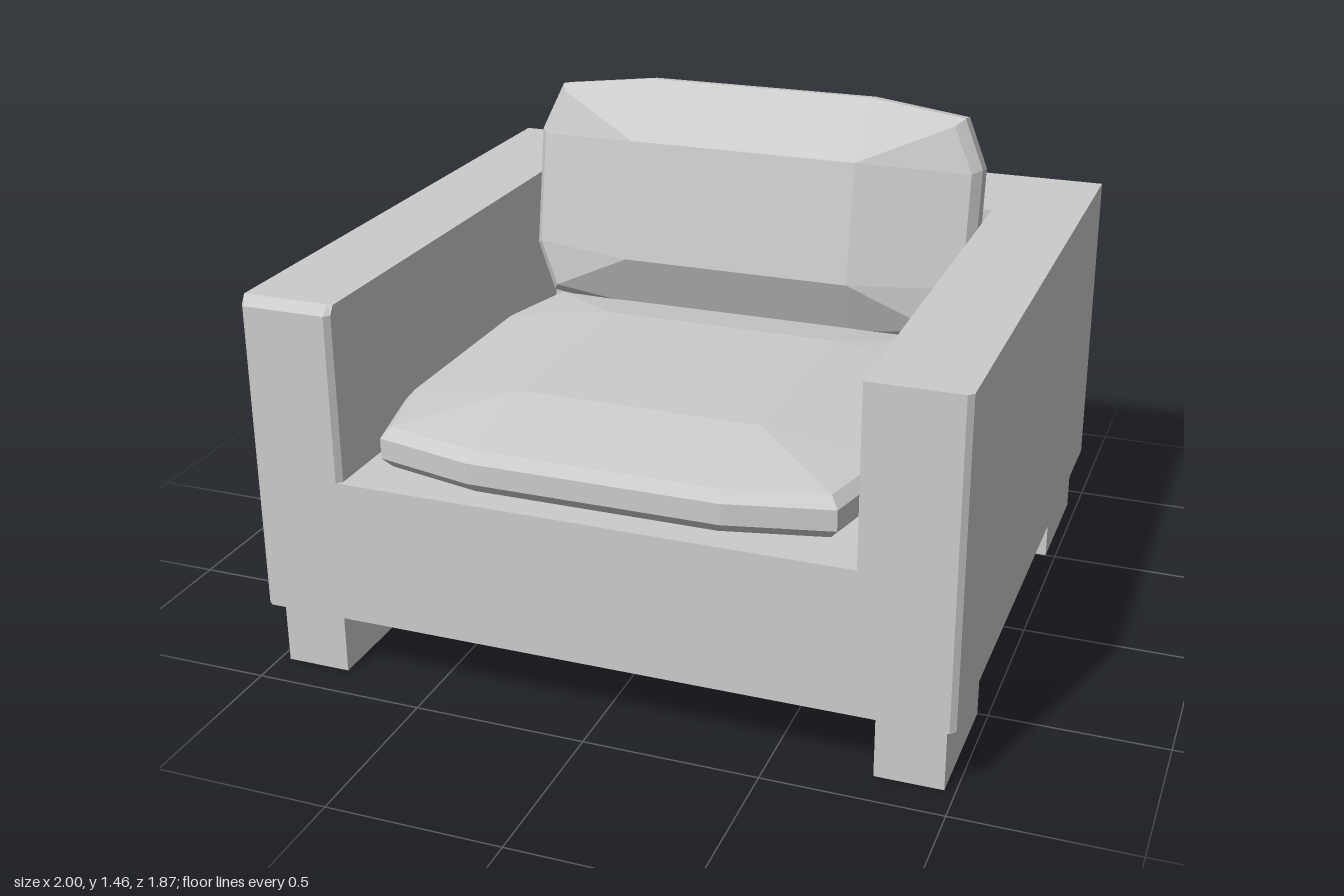
import * as THREE from 'three';
import { ConvexGeometry } from 'three/addons/geometries/ConvexGeometry.js';

const material = new THREE.MeshStandardMaterial({ color: 0xcccccc, flatShading: true });

function addMesh(parent, name, geometry) {
  const mesh = new THREE.Mesh(geometry, material);
  mesh.name = name;
  parent.add(mesh);
  return mesh;
}

// Extrudes a floor plan of [x, z] points upward from y0 to y1
function extrudePlan(plan, y0, y1, steps = 1) {
  const shape = new THREE.Shape(plan.map(([x, z]) => new THREE.Vector2(x, -z)));
  const geometry = new THREE.ExtrudeGeometry(shape, { depth: y1 - y0, steps, bevelEnabled: false });
  return geometry.rotateX(-Math.PI / 2).translate(0, y0, 0);
}

// Faceted pillow: two full rings, an inset rim on each side and a raised flat centre.
// levels: [bottom centre, bottom rim, lower ring, upper ring, top rim, top centre]
function cushionGeometry(hx, hz, levels) {
  const points = [];
  const addRing = (y, inset, spots) => {
    for (const [u, v] of spots)
      for (const sx of [-1, 1])
        for (const sz of [-1, 1])
          points.push(new THREE.Vector3(sx * u * (hx - inset), y, sz * v * (hz - inset)));
  };
  const outline = [[0.5, 1], [0.91, 0.9], [1, 0.5]];
  const centre = [[0.5, 0.5]];
  addRing(levels[0], 0, centre);
  addRing(levels[1], 0.025, outline);
  addRing(levels[2], 0, outline);
  addRing(levels[3], 0, outline);
  addRing(levels[4], 0.025, outline);
  addRing(levels[5], 0, centre);
  return new ConvexGeometry(points);
}

export function createModel() {
  const armchair = new THREE.Group();
  armchair.name = 'armchair';

  const X = 1, Z = 0.935, IN = 0.73, BACK = -0.51, FLOOR = 0.62, TOP = 1.13, C = 0.015, BEVEL = 0.03;

  // Base block with slightly cut vertical corners
  const base = [
    [-X + C, Z], [X - C, Z], [X, Z - C], [X, -Z + BEVEL],
    [X - C, -Z], [-X + C, -Z], [-X, -Z + BEVEL], [-X, Z - C],
  ];
  addMesh(armchair, 'base', extrudePlan(base, 0.2, FLOOR));

  // Arms and backrest as one U-shaped wall
  const wall = [
    [-X + C, Z], [-IN - C, Z], [-IN, Z - C], [-IN, BACK], [IN, BACK], [IN, Z],
    [X - C, Z], [X, Z - C], [X, -Z + BEVEL], [X - C, -Z], [-X + C, -Z], [-X, -Z + BEVEL],
    [-X, Z - C],
  ];
  const wallGeometry = extrudePlan(wall, FLOOR, TOP, 2);
  const p = wallGeometry.attributes.position;
  const mid = (FLOOR + TOP) / 2;
  for (let i = 0; i < p.count; i++) {
    if (Math.abs(p.getY(i) - mid) < 0.01) p.setY(i, TOP - 0.025);
    else if (p.getY(i) > mid) {
      // Bevel along the back and on the front of the right arm
      if (p.getZ(i) < -Z + 0.01) p.setZ(i, -Z + BEVEL);
      if (p.getX(i) < 0 && p.getZ(i) > Z - BEVEL) p.setZ(i, Z - BEVEL);
    }
  }
  wallGeometry.computeVertexNormals();
  addMesh(armchair, 'armsAndBack', wallGeometry);

  // Four block legs
  for (const sx of [-1, 1])
    for (const sz of [-1, 1])
      addMesh(armchair, 'leg', new THREE.BoxGeometry(0.19, 0.2, 0.39))
        .position.set(sx * 0.875, 0.1, sz * 0.695);

  // Seat cushion
  addMesh(armchair, 'seatCushion',
    cushionGeometry(0.715, 0.665, [0.62, 0.64, 0.67, 0.73, 0.76, 0.81])).position.z = 0.245;

  // Back cushion, leaning against the backrest
  const backCushion = addMesh(armchair, 'backCushion',
    cushionGeometry(0.715, 0.37, [-0.128, -0.08, -0.045, 0.014, 0.05, 0.15]));
  backCushion.position.set(0, 1.095, -0.4);
  backCushion.rotation.x = Math.PI / 2 - 0.175;

  return armchair;
}
